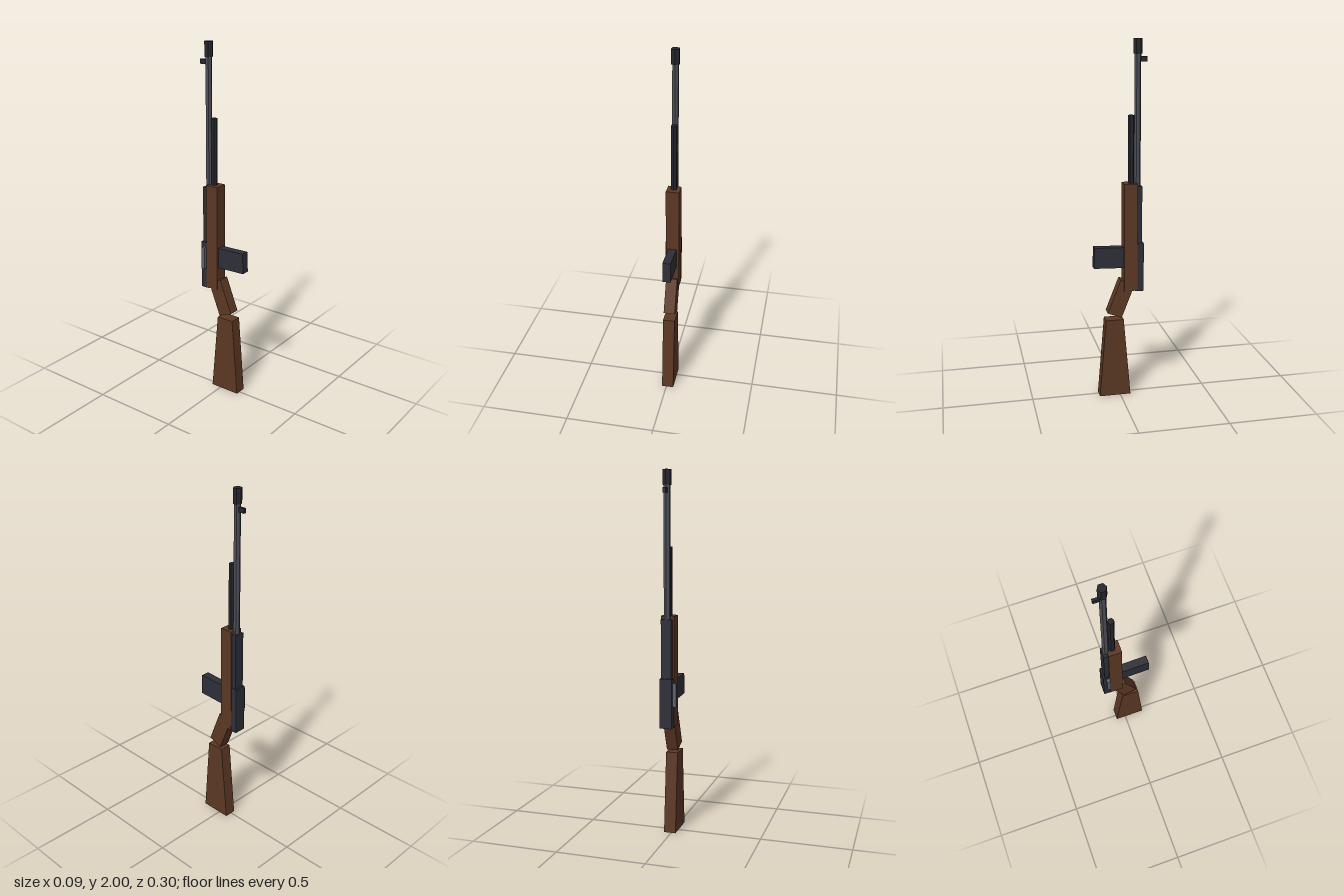
import * as THREE from 'three';

const CX = 0.008; // centre plane of the body

const material = (name, color) => {
  const m = new THREE.MeshStandardMaterial({ color, flatShading: true });
  m.name = name;
  return m;
};

export function createModel() {
  const wood = material('wood', 0x5c3824);
  const metal = material('dark metal', 0x2e2e38);
  const black = material('blackened metal', 0x25262d);
  const steel = material('barrel steel', 0x4c4e56);
  const bright = material('bright steel', 0x5c626b);

  const group = new THREE.Group();
  const add = (name, geometry, mat, x, y, z) => {
    const mesh = new THREE.Mesh(geometry, mat);
    mesh.name = name;
    mesh.position.set(x, y, z);
    group.add(mesh);
    return mesh;
  };
  // Box given by its width and its y and z ranges
  const block = (name, mat, w, y0, y1, z0, z1, x = CX) =>
    add(name, new THREE.BoxGeometry(w, y1 - y0, z1 - z0), mat, x, (y0 + y1) / 2, (z0 + z1) / 2);
  // Upright six-sided tube
  const tube = (name, mat, rTop, rBottom, y0, y1, z) =>
    add(name, new THREE.CylinderGeometry(rTop, rBottom, y1 - y0, 6), mat, CX, (y0 + y1) / 2, z);

  // Wooden body, receiver and its cover
  block('body', wood, 0.074, 0.625, 1.232, -0.096, -0.021);
  block('receiver', metal, 0.067, 0.62, 0.895, -0.132, -0.085);
  block('receiverCover', metal, 0.058, 0.88, 1.216, -0.122, -0.085);

  // Barrel group
  tube('barrel', steel, 0.018, 0.0185, 1.2, 1.93, -0.1);
  tube('muzzle', black, 0.024, 0.024, 1.92, 2.0, -0.1);
  tube('lowerTube', black, 0.0175, 0.0175, 1.2, 1.6, -0.065);
  block('frontSight', black, 0.015, 1.88, 1.906, -0.15, -0.1);

  // Side handle
  block('sideHandle', bright, 0.03, 0.74, 0.87, -0.116, -0.096, -0.032);

  // Magazine, tipped slightly
  const magazine = block('magazine', metal, 0.046, 0.76, 0.877, -0.035, 0.145);
  magazine.rotation.x = -0.035;

  // Slanted grip
  const grip = add('grip', new THREE.BoxGeometry(0.064, 0.204, 0.085), wood, CX, 0.579, -0.005);
  grip.rotation.x = -0.371;

  // Flared butt: side outline in (z, y), extruded across x
  const outline = new THREE.Shape([
    new THREE.Vector2(-0.119, 0), new THREE.Vector2(0.059, 0),
    new THREE.Vector2(0.019, 0.457), new THREE.Vector2(-0.082, 0.457),
  ]);
  const butt = new THREE.ExtrudeGeometry(outline, { depth: 0.067, bevelEnabled: false });
  butt.translate(0, 0, -0.0335).rotateY(Math.PI / 2);
  add('butt', butt, wood, CX, 0, 0);

  return group;
}
